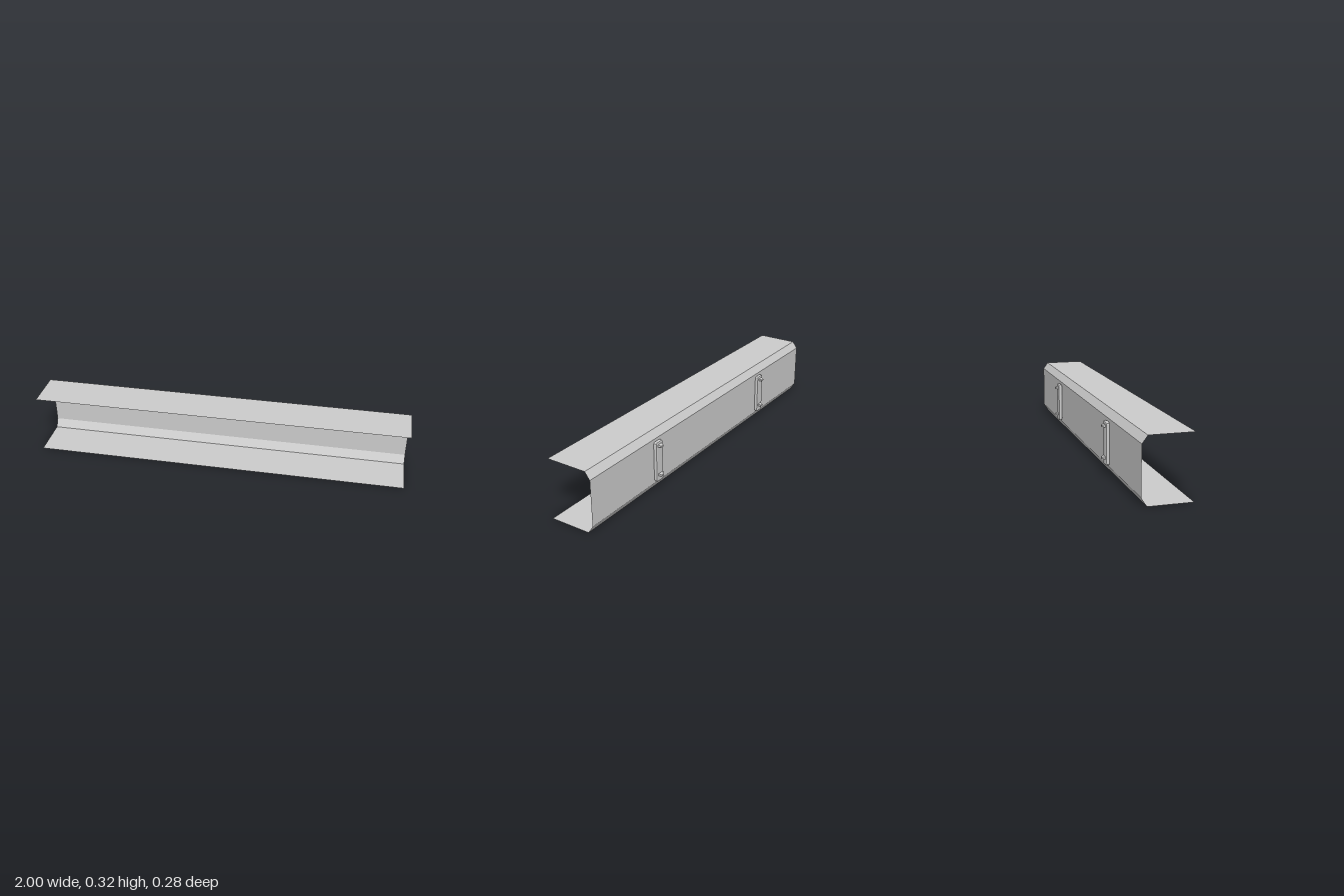
import * as THREE from 'three';

const steel = new THREE.MeshStandardMaterial({ color: 0xcccccc, flatShading: true });
const sheet = new THREE.MeshStandardMaterial({ color: 0xcccccc, flatShading: true, side: THREE.DoubleSide });

// Thin folded sheet: a (z, y) profile swept along x
function foldedSheet(profile, halfLength) {
  const pos = [];
  for (let i = 0; i < profile.length - 1; i++) {
    const [z0, y0] = profile[i], [z1, y1] = profile[i + 1];
    const a = [-halfLength, y0, z0], b = [halfLength, y0, z0];
    const c = [halfLength, y1, z1], d = [-halfLength, y1, z1];
    pos.push(...a, ...b, ...c, ...a, ...c, ...d);
  }
  const geo = new THREE.BufferGeometry();
  geo.setAttribute('position', new THREE.Float32BufferAttribute(pos, 3));
  geo.computeVertexNormals();
  return geo;
}

// Upright plate with rounded corners and bevelled rims
function plateGeometry(w, h, depth, bevel, r) {
  const x = w / 2 - bevel, y = h / 2 - bevel;
  const s = new THREE.Shape();
  s.moveTo(-x + r, -y);
  s.lineTo(x - r, -y);
  s.quadraticCurveTo(x, -y, x, -y + r);
  s.lineTo(x, y - r);
  s.quadraticCurveTo(x, y, x - r, y);
  s.lineTo(-x + r, y);
  s.quadraticCurveTo(-x, y, -x, y - r);
  s.lineTo(-x, -y + r);
  s.quadraticCurveTo(-x, -y, -x + r, -y);
  const geo = new THREE.ExtrudeGeometry(s, {
    depth: depth - 2 * bevel, bevelEnabled: true, bevelThickness: bevel,
    bevelSize: bevel, bevelSegments: 2, curveSegments: 3,
  });
  return geo.translate(0, 0, bevel - depth / 2);
}

// Hook: flat underside, sloping top, narrower at its rear tip
function hookGeometry() {
  const geo = new THREE.BoxGeometry(0.032, 0.014, 0.018);
  const p = geo.attributes.position;
  for (let i = 0; i < p.count; i++) {
    if (p.getZ(i) > 0) continue;
    p.setX(i, p.getX(i) * 0.6);
    if (p.getY(i) > 0) p.setY(i, 0.002);
  }
  geo.computeVertexNormals();
  return geo;
}

export function createModel() {
  const model = new THREE.Group();
  model.name = 'cableTray';

  const channel = new THREE.Mesh(foldedSheet([
    [0.14, 0], [-0.08, 0], [-0.107, 0.043], [-0.107, 0.283], [-0.08, 0.32], [0.14, 0.32],
  ], 1), sheet);
  channel.name = 'channel';
  model.add(channel);

  // Mounting brackets on the rear wall
  const plateGeo = plateGeometry(0.056, 0.218, 0.02, 0.006, 0.008);
  const hookGeo = hookGeometry();
  for (const x of [-0.5, 0.5]) {
    const bracket = new THREE.Group();
    bracket.name = x > 0 ? 'leftBracket' : 'rightBracket';
    bracket.position.x = x;
    const plate = new THREE.Mesh(plateGeo, steel);
    plate.name = 'mountingPlate';
    plate.position.set(0, 0.161, -0.117);
    bracket.add(plate);
    for (const y of [0.09, 0.25]) {
      const hook = new THREE.Mesh(hookGeo, steel);
      hook.name = y > 0.2 ? 'upperHook' : 'lowerHook';
      hook.position.set(0, y, -0.133);
      bracket.add(hook);
    }
    model.add(bracket);
  }
  return model;
}
